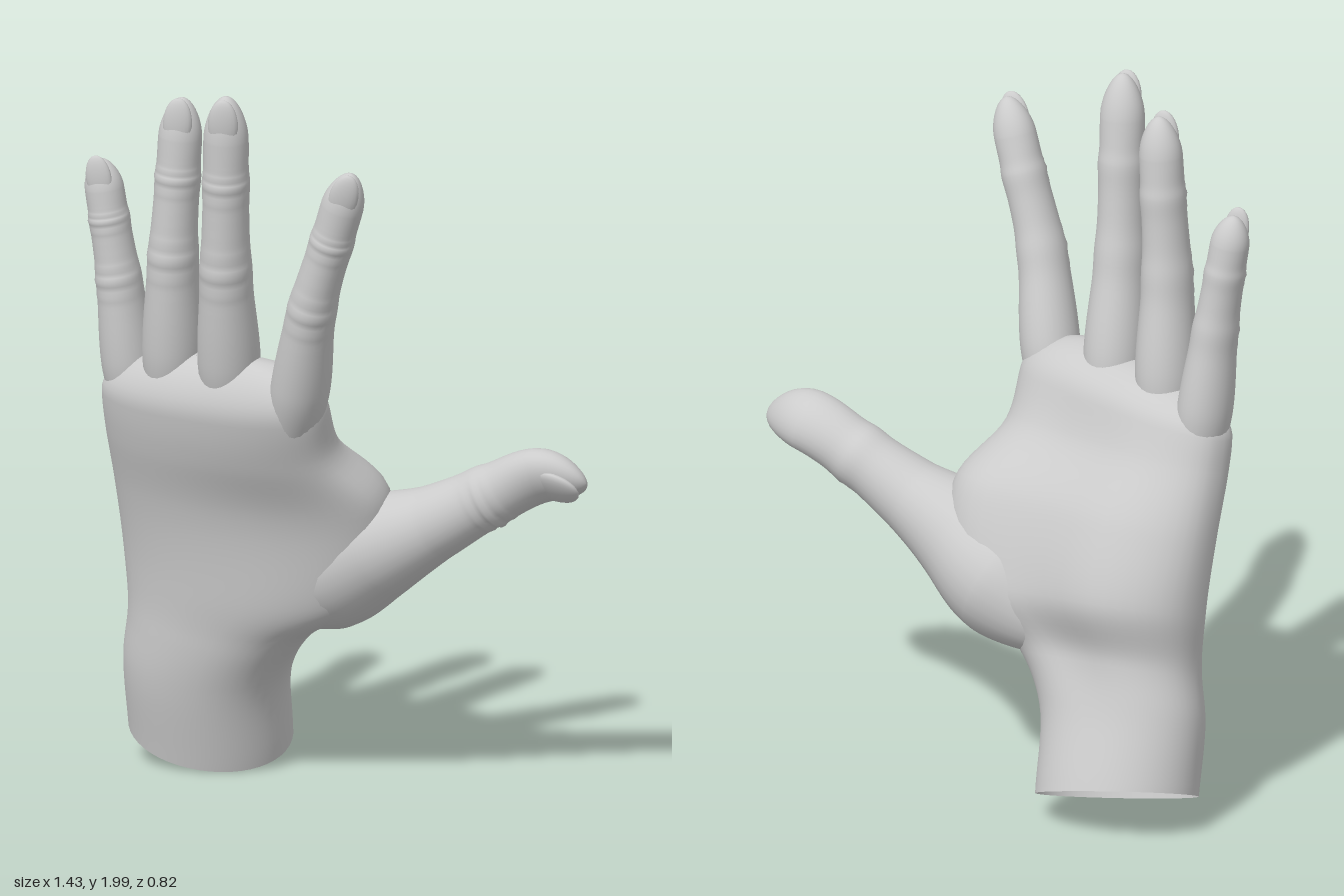
import * as THREE from 'three';

const material = new THREE.MeshStandardMaterial({ color: 0xcccccc, roughness: 0.8, side: THREE.DoubleSide });
const V = (x, y, z) => new THREE.Vector3(x, y, z);
const smooth = (points) => new THREE.CatmullRomCurve3(points);
const signedPow = (v, e) => Math.sign(v) * Math.abs(v) ** e;

// Skin a stack of equal closed rings
function skin(name, rings) {
  const n = rings[0].length, index = [];
  for (let i = 0; i < rings.length - 1; i++) {
    for (let j = 0; j < n; j++) {
      const a = i * n + j, b = i * n + (j + 1) % n;
      index.push(a, a + n, b, b, a + n, b + n);
    }
  }
  const geometry = new THREE.BufferGeometry().setFromPoints(rings.flat());
  geometry.setIndex(index);
  geometry.computeVertexNormals();
  const mesh = new THREE.Mesh(geometry, material);
  mesh.name = name;
  return mesh;
}

// Stations along a loft; the last span closes as a round dome
function stations(spans, perSpan) {
  const list = [];
  for (let i = 0; i < (spans - 1) * perSpan; i++) list.push([i / perSpan, 1]);
  for (let i = 0; i <= 10; i++) {
    const a = (i / 10) * Math.PI / 2;
    list.push([spans - 1 + Math.sin(a), Math.max(Math.cos(a), 0.002)]);
  }
  return list;
}

// Axes across a digit: u sideways, n towards the nail, t along
function frame(path, s, front) {
  const t = path.getTangent(s);
  const u = t.clone().cross(front).normalize();
  return { t, u, n: u.clone().cross(t) };
}

// A finger or thumb from its centre line, half widths and half depths
function digit(name, points, widths, depths, joints, front, nailLength) {
  const group = new THREE.Group();
  group.name = name;
  const path = smooth(points);
  const size = smooth(widths.map((w, i) => V(w, depths[i], 0)));
  const spans = points.length - 1;
  const rings = stations(spans, 16).map(([k, dome]) => {
    const s = k / spans;
    const c = path.getPoint(s), r = size.getPoint(s), { u, n } = frame(path, s, front);
    // Joint swelling, with skin folds on the nail side
    let swell = 1, fold = 0;
    for (const j of joints) {
      const w = Math.exp(-(((k - j) / 0.2) ** 2));
      swell += 0.06 * w;
      fold += 0.06 * w * Math.cos((k - j) * 32);
    }
    return Array.from({ length: 28 }, (_, i) => {
      const a = (i / 28) * Math.PI * 2, sin = Math.sin(a);
      const f = dome * (swell + fold * Math.max(sin, 0));
      return c.clone().addScaledVector(u, Math.cos(a) * r.x * f).addScaledVector(n, sin * r.y * f);
    });
  });
  group.add(skin(name + 'Flesh', rings));

  // Nail: a thin domed plate
  const s = (spans - 0.62) / spans, r = size.getPoint(s), { u, n, t } = frame(path, s, front);
  const plate = new THREE.Mesh(new THREE.SphereGeometry(1, 20, 14), material);
  plate.name = name + 'Nail';
  plate.scale.set(r.x * 0.72, nailLength, r.y * 0.36);
  plate.quaternion.setFromRotationMatrix(new THREE.Matrix4().makeBasis(u, t, n));
  plate.position.copy(path.getPoint(s)).addScaledVector(n, r.y * 0.64);
  group.add(plate);
  return group;
}

// Finger from knuckle, middle joint and tip; the slim root is buried in the palm
function finger(name, girth, knuckle, joint, tip) {
  const root = knuckle.clone().multiplyScalar(2).sub(joint);
  const points = [root, knuckle, joint, joint.clone().lerp(tip, 0.5), joint.clone().lerp(tip, 0.76), tip];
  const widths = [0.045, 0.083, 0.066, 0.06, 0.06, 0.05].map((w) => w * girth);
  const depths = [0.045, 0.095, 0.077, 0.066, 0.058, 0.045].map((d) => d * girth);
  return digit(name, points, widths, depths, [2, 3], V(0.1 + 0.3 * knuckle.x, 0, 1), 0.073 * girth);
}

function thumb() {
  const points = [
    V(-0.34, 0.5, -0.07), V(-0.19, 0.54, -0.09), V(-0.04, 0.61, -0.055), V(0.12, 0.695, 0),
    V(0.27, 0.77, 0.025), V(0.43, 0.86, 0.04), V(0.58, 0.932, 0.055), V(0.715, 0.925, 0.095),
  ];
  const widths = [0.04, 0.13, 0.178, 0.145, 0.105, 0.086, 0.088, 0.074];
  const depths = [0.04, 0.12, 0.175, 0.145, 0.105, 0.083, 0.066, 0.047];
  return digit('thumb', points, widths, depths, [5], V(0.15, -0.6, 0.78), 0.08);
}

// Wrist and palm, lofted between the little-finger edge and the thumb edge
function palm() {
  const outer = smooth([
    V(-0.65, 0.12, -0.24), V(-0.65, 0.32, -0.2), V(-0.63, 0.46, -0.18), V(-0.64, 0.62, -0.18),
    V(-0.655, 0.82, -0.13), V(-0.665, 1, -0.07), V(-0.665, 1.1, -0.04), V(-0.64, 1.2, 0),
  ]);
  const inner = smooth([
    V(-0.2, 0.05, -0.22), V(-0.18, 0.28, -0.13), V(-0.09, 0.42, -0.06), V(0.1, 0.56, 0),
    V(0.14, 0.82, 0.07), V(0.025, 0.98, 0.18), V(0.005, 1.12, 0.245), V(-0.03, 1.25, 0.27),
  ]);
  // Half depths: x to the back of the hand, y to the palm side
  const depth = smooth([
    V(0.19, 0.195, 0), V(0.18, 0.175, 0), V(0.17, 0.18, 0), V(0.185, 0.23, 0),
    V(0.17, 0.2, 0), V(0.14, 0.16, 0), V(0.125, 0.145, 0), V(0.1, 0.12, 0),
  ]);
  const rings = stations(7, 8).map(([k, dome]) => {
    const s = k / 7, e = 0.98 - 0.2 * s;
    const a = outer.getPoint(s), b = inner.getPoint(s), d = depth.getPoint(s);
    const mid = a.clone().add(b).multiplyScalar(0.5);
    const half = b.sub(a).multiplyScalar(0.5);
    const n = half.clone().cross(V(0, 0.92, 0.39 - 0.12 * s)).normalize();
    // Hollow of the palm between the thumb ball and the heel
    const hollow = 0.25 * Math.sin(Math.PI * s) ** 2;
    return Array.from({ length: 48 }, (_, i) => {
      const t = (i / 48) * Math.PI * 2, c = Math.cos(t), w = Math.sin(t);
      const cup = w < 0 ? 1 - hollow * Math.exp(-(((c - 0.15) / 0.4) ** 2)) : 1;
      const across = signedPow(c, e) * (0.3 + 0.7 * dome);
      const out = signedPow(w, e) * (w > 0 ? d.x : d.y) * cup * dome;
      return mid.clone().addScaledVector(half, across).addScaledVector(n, out);
    });
  });
  return skin('palmAndWrist', rings);
}

export function createModel() {
  const hand = new THREE.Group();
  hand.name = 'hand';
  hand.add(
    palm(),
    finger('littleFinger', 0.9, V(-0.6, 1.17, -0.015), V(-0.625, 1.4, 0), V(-0.675, 1.73, 0.01)),
    finger('ringFinger', 1, V(-0.455, 1.23, 0.065), V(-0.445, 1.5, 0.1), V(-0.415, 1.945, 0.115)),
    finger('middleFinger', 1.03, V(-0.275, 1.23, 0.15), V(-0.27, 1.5, 0.205), V(-0.255, 1.995, 0.26)),
    finger('indexFinger', 0.98, V(-0.05, 1.19, 0.24), V(0, 1.43, 0.305), V(0.127, 1.83, 0.37)),
    thumb(),
  );
  return hand;
}
